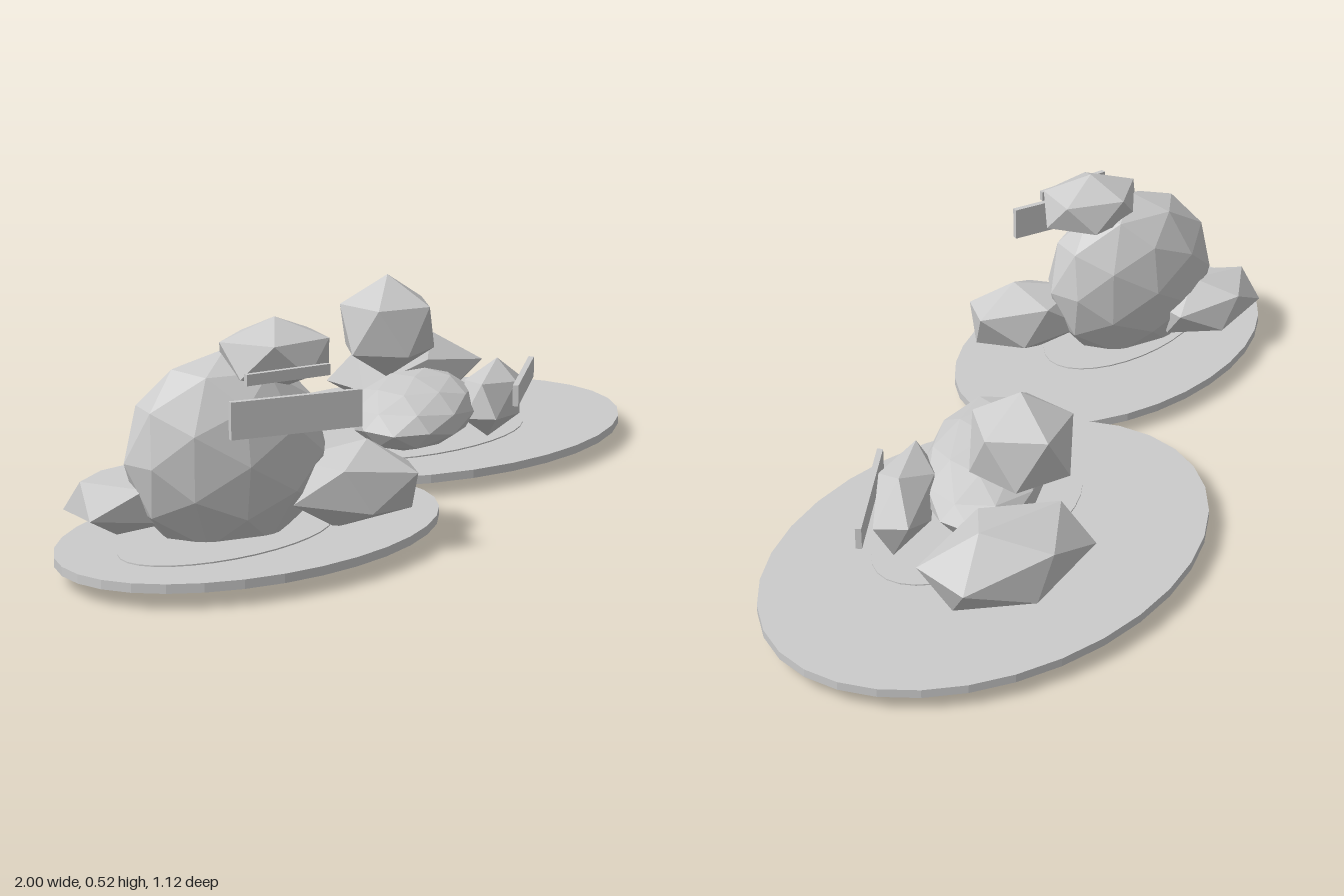
import * as THREE from 'three';

const material = new THREE.MeshStandardMaterial({ color: 0xcccccc, flatShading: true });
const VERTEX_UP = Math.atan(2 / (1 + Math.sqrt(5))); // tilt that stands an icosahedron on a corner

function add(parent, name, geometry) {
  const mesh = new THREE.Mesh(geometry, material);
  mesh.name = name;
  parent.add(mesh);
  return mesh;
}

// Flat elliptical slab between two heights
function slab(parent, name, x, z, rx, rz, y0, y1) {
  const mesh = add(parent, name, new THREE.CylinderGeometry(1, 1, 1, 32));
  mesh.scale.set(rx, y1 - y0, rz);
  mesh.position.set(x, (y0 + y1) / 2, z);
}

// Faceted boulder: proportioned, turned, then fitted between two corners
function boulder(parent, name, detail, tilt, size, yaw, min, max) {
  const g = new THREE.IcosahedronGeometry(1, detail);
  g.rotateZ(tilt).scale(...size).rotateY(yaw);
  g.computeBoundingBox();
  const from = g.boundingBox.getSize(new THREE.Vector3());
  const center = g.boundingBox.getCenter(new THREE.Vector3());
  g.translate(-center.x, -center.y, -center.z);
  g.scale((max[0] - min[0]) / from.x, (max[1] - min[1]) / from.y, (max[2] - min[2]) / from.z);
  g.translate((min[0] + max[0]) / 2, (min[1] + max[1]) / 2, (min[2] + max[2]) / 2);
  g.computeVertexNormals();
  add(parent, name, g);
}

// Thin upright plate
function plate(parent, name, size, position, yaw) {
  const mesh = add(parent, name, new THREE.BoxGeometry(...size));
  mesh.position.set(...position);
  mesh.rotation.y = yaw;
}

export function createModel() {
  const model = new THREE.Group();
  model.name = 'rockIslands';

  // Tall rock pile
  const tall = new THREE.Group();
  tall.name = 'tallRockIsland';
  slab(tall, 'base', -0.515, 0.235, 0.485, 0.32, 0.035, 0.055);
  slab(tall, 'innerPatch', -0.6, 0.25, 0.28, 0.15, 0.05, 0.058);
  boulder(tall, 'mainBoulder', 1, 0, [0.225, 0.225, 0.13], -0.36, [-0.79, 0, 0.075], [-0.36, 0.455, 0.365]);
  boulder(tall, 'topRock', 0, VERTEX_UP, [0.12, 0.09, 0.1], -0.36, [-0.605, 0.36, 0.175], [-0.365, 0.52, 0.38]);
  boulder(tall, 'backRock', 0, 0.3, [0.15, 0.08, 0.1], -0.2, [-0.868, 0.055, -0.015], [-0.573, 0.21, 0.185]);
  boulder(tall, 'frontRock', 0, 0.35, [0.17, 0.1, 0.1], -0.6, [-0.495, 0.05, 0.255], [-0.208, 0.245, 0.495]);
  plate(tall, 'lowerPlate', [0.295, 0.08, 0.014], [-0.56, 0.345, 0.42], -0.37);
  plate(tall, 'upperPlate', [0.2, 0.024, 0.012], [-0.56, 0.425, 0.395], -0.24);

  // Low, spread-out rock pile
  const low = new THREE.Group();
  low.name = 'lowRockIsland';
  slab(low, 'base', 0.4, -0.135, 0.6, 0.43, 0.035, 0.055);
  slab(low, 'innerPatch', 0.335, -0.05, 0.315, 0.17, 0.05, 0.058);
  boulder(low, 'mainBoulder', 1, 0, [0.285, 0.08, 0.146], 0.6, [0, 0.065, -0.205], [0.5, 0.222, 0.197]);
  boulder(low, 'topRock', 0, VERTEX_UP, [0.12, 0.125, 0.12], 0.6, [0.215, 0.18, -0.29], [0.455, 0.44, -0.065]);
  boulder(low, 'backRock', 0, 0.2, [0.2, 0.09, 0.12], -0.15, [0.315, 0.058, -0.413], [0.715, 0.245, -0.16]);
  boulder(low, 'frontRock', 0, 0.25, [0.19, 0.08, 0.075], 0.6, [0.31, 0.058, -0.065], [0.638, 0.23, 0.165]);
  plate(low, 'frontPlate', [0.33, 0.052, 0.014], [0.56, 0.174, 0.077], 0.595);

  model.add(tall, low);
  return model;
}
